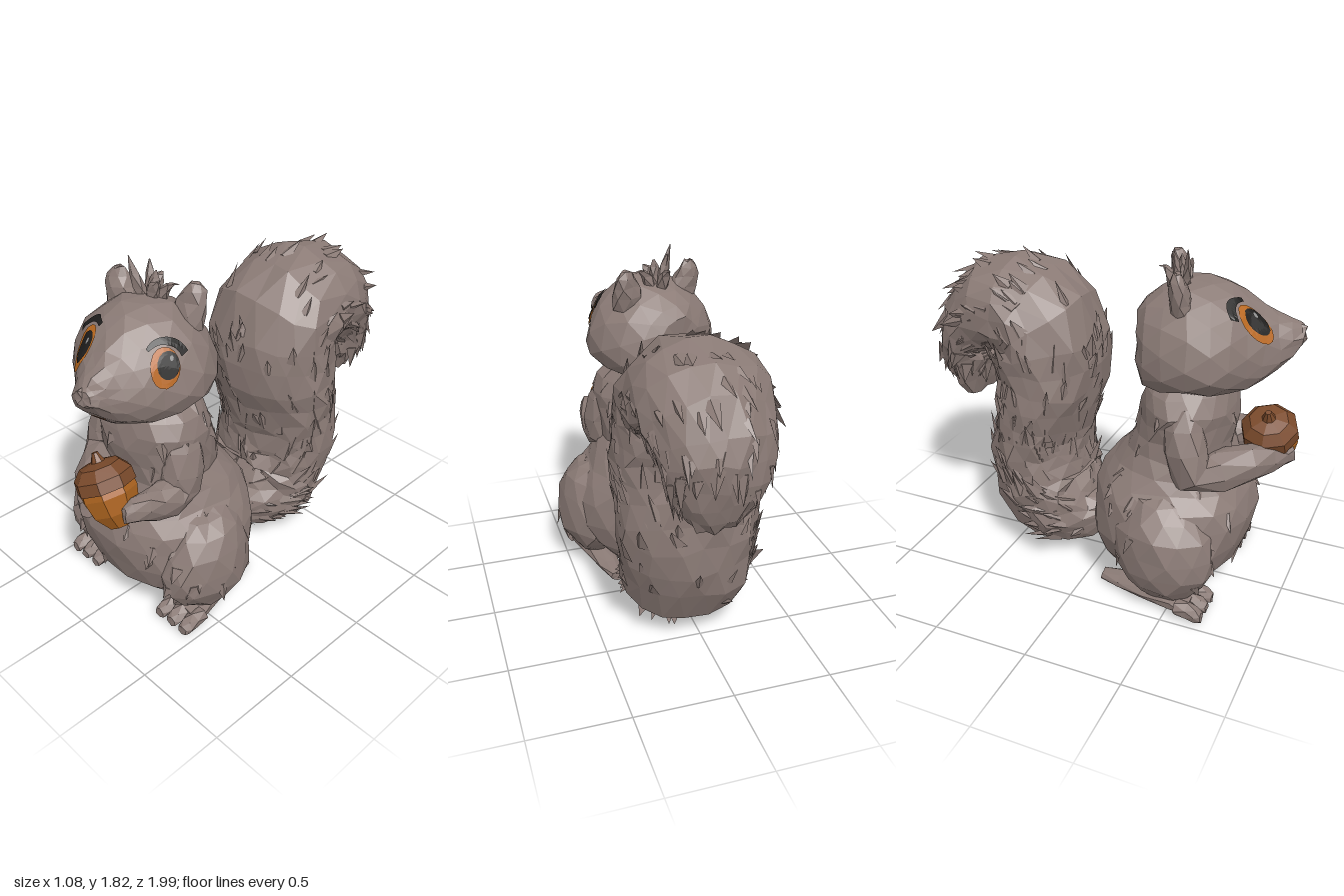
import * as THREE from 'three';
import { mergeGeometries } from 'three/addons/utils/BufferGeometryUtils.js';

const V = (x, y, z) => new THREE.Vector3(x, y, z);
const X = V(1, 0, 0);
const mat = (name, color, side = THREE.FrontSide) => new THREE.MeshStandardMaterial({ name, color, side });

// Flat-faced geometry from a list of corner points, three per face
function facets(pts) {
  const g = new THREE.BufferGeometry().setFromPoints(pts);
  g.computeVertexNormals();
  return g;
}

export function createModel() {
  let seed = 11;
  const rnd = () => (seed = (seed * 16807) % 2147483647) / 2147483647;
  const jig = a => (rnd() - 0.5) * 2 * a;

  const fur = mat('fur', 0x8b7b76);
  const nutMat = mat('nut orange', 0xa9621f);
  const capMat = mat('cap brown', 0x7a4a2b);
  const irisMat = mat('iris orange', 0xb8681f, THREE.DoubleSide);
  const darkMat = mat('eye black', 0x1f1e1d, THREE.DoubleSide);
  const glintMat = mat('eye glint', 0x8f8f8f, THREE.DoubleSide);
  const mouthMat = mat('mouth', 0x9a5530, THREE.DoubleSide);

  const model = new THREE.Group();
  model.name = 'squirrel';
  const add = (name, geo, material, parent = model) => {
    const m = new THREE.Mesh(geo, material);
    m.name = name;
    parent.add(m);
    return m;
  };

  // Faceted loft through rows of [x, y, z, side radius, other radius], with optional loose fur flakes
  function loft(rows, { sides = 12, rings = 10, rough = 0.012, side = X, dir = null, pear = 0, square = 1, flakes = 0, flakeLen = 0.1 } = {}) {
    const path = new THREE.CatmullRomCurve3(rows.map(r => V(r[0], r[1], r[2])), false, 'catmullrom', 0.5);
    const radii = new THREE.CatmullRomCurve3(rows.map(r => V(r[3], r[4], 0)), false, 'catmullrom', 0.5);
    const bulge = v => Math.sign(v) * Math.abs(v) ** square;
    const grid = [];
    for (let i = 0; i <= rings; i++) {
      const t = i / rings, c = path.getPoint(t), r = radii.getPoint(t);
      const tan = dir ?? path.getTangent(t);
      const n = V().crossVectors(tan, side).normalize();
      const s = V().crossVectors(n, tan).normalize();
      grid.push(Array.from({ length: sides }, (_, j) => {
        const a = ((j + (i % 2) * 0.5) / sides) * Math.PI * 2;
        return c.clone()
          .addScaledVector(s, r.x * bulge(Math.cos(a)) * (1 - pear * Math.sin(a)))
          .addScaledVector(n, r.y * bulge(Math.sin(a)))
          .add(V(jig(rough), jig(rough), jig(rough)));
      }));
    }
    const at = (i, j) => grid[i][(j + sides) % sides];
    const middle = i => grid[i].reduce((m, p) => m.add(p), V()).divideScalar(sides);
    let f = [];
    for (let i = 0; i < rings; i++) for (let j = 0; j < sides; j++) {
      const a = at(i, j), b = at(i, j + 1), c = at(i + 1, j), d = at(i + 1, j + 1);
      if (i % 2) f.push(a, b, d, a, d, c); else f.push(a, b, c, b, d, c);
    }
    for (const [i, flip] of [[0, true], [rings, false]]) {
      for (let j = 0; j < sides; j++) f.push(middle(i), at(i, flip ? j + 1 : j), at(i, flip ? j : j + 1));
    }
    // Turn the shell outward if its signed volume is negative
    let vol = 0;
    for (let k = 0; k < f.length; k += 3) vol += f[k].dot(V().crossVectors(f[k + 1], f[k + 2]));
    if (vol < 0) f = f.reverse();
    // Overlapping flat pointed flakes that follow the loft direction
    for (let k = 0; k < flakes; k++) {
      const i = 1 + Math.floor(rnd() * (rings - 3)), j = Math.floor(rnd() * sides);
      const p = at(i, j).clone().lerp(at(i, j + 1), rnd()).lerp(at(i + 1, j), rnd() * 0.7);
      const along = at(i + 1, j).clone().sub(at(i - 1, j)).normalize();
      const out = p.clone().sub(middle(i));
      out.addScaledVector(along, -out.dot(along)).normalize();
      const w = V().crossVectors(out, along);
      const len = flakeLen * (0.6 + rnd() * 0.7), wide = 0.025 + rnd() * 0.03;
      const L = p.clone().addScaledVector(w, -wide).addScaledVector(out, -0.015);
      const R = p.clone().addScaledVector(w, wide).addScaledVector(out, -0.015);
      const ridge = p.clone().addScaledVector(out, 0.006);
      const tip = p.clone().addScaledVector(along, len).addScaledVector(w, jig(0.03)).addScaledVector(out, 0.01);
      f.push(ridge, L, tip, R, ridge, tip, tip, L, R, R, L, ridge);
      const nrm = V().crossVectors(L.clone().sub(ridge), tip.clone().sub(ridge));
      if (nrm.dot(out) < 0) for (let q = f.length - 12; q < f.length; q += 3) [f[q], f[q + 1]] = [f[q + 1], f[q]];
    }
    return facets(f);
  }

  // Pear-shaped body, neck to base
  add('body', loft([
    [0, 1.2, 0.45, 0.19, 0.17], [0, 1.07, 0.46, 0.3, 0.22], [0, 0.95, 0.45, 0.3, 0.24],
    [0, 0.8, 0.42, 0.28, 0.25], [0, 0.68, 0.385, 0.33, 0.32], [0, 0.57, 0.39, 0.41, 0.39],
    [0, 0.42, 0.4, 0.46, 0.415], [0, 0.22, 0.385, 0.42, 0.385], [0, 0.07, 0.37, 0.26, 0.26],
    [0, 0.015, 0.37, 0.1, 0.1],
  ], { sides: 16, rings: 14, dir: V(0, -1, 0), square: 0.85, flakes: 50, flakeLen: 0.09 }), fur);

  // Bushy curled tail
  add('tail', loft([
    [0, 0.24, 0.02, 0.1, 0.1], [0.01, 0.23, -0.13, 0.26, 0.19], [0.02, 0.31, -0.31, 0.34, 0.275],
    [0.03, 0.5, -0.39, 0.355, 0.26], [0.04, 0.7, -0.395, 0.37, 0.25], [0.04, 0.9, -0.355, 0.375, 0.27],
    [0.04, 1.1, -0.335, 0.37, 0.295], [0.04, 1.28, -0.375, 0.355, 0.3], [0.04, 1.365, -0.54, 0.335, 0.27],
    [0.04, 1.3, -0.71, 0.305, 0.235], [0.04, 1.15, -0.8, 0.26, 0.17], [0.04, 0.99, -0.81, 0.21, 0.135],
    [0.04, 0.85, -0.79, 0.13, 0.08],
  ], { sides: 18, rings: 24, rough: 0.016, flakes: 380, flakeLen: 0.12 }), fur);

  // Thighs, feet and toes, mirrored
  for (const s of [-1, 1]) {
    const label = s > 0 ? 'left' : 'right';
    add(label + 'Thigh', loft([
      [s * 0.3, 0.63, 0.44, 0.04, 0.06], [s * 0.33, 0.58, 0.44, 0.11, 0.15], [s * 0.355, 0.48, 0.45, 0.155, 0.225],
      [s * 0.365, 0.34, 0.455, 0.178, 0.265], [s * 0.36, 0.21, 0.46, 0.165, 0.245], [s * 0.35, 0.11, 0.46, 0.115, 0.17],
      [s * 0.35, 0.05, 0.46, 0.05, 0.08],
    ], { sides: 11, rings: 8, dir: V(0, -1, 0), flakes: 16, flakeLen: 0.08 }), fur);
    add(label + 'Foot', loft([
      [s * 0.29, 0.03, 0.1, 0.04, 0.025], [s * 0.31, 0.04, 0.25, 0.07, 0.035],
      [s * 0.34, 0.045, 0.48, 0.1, 0.042], [s * 0.355, 0.05, 0.62, 0.11, 0.045],
    ], { sides: 8, rings: 4, rough: 0.005, dir: V(0, 0, 1) }), fur);
    for (const k of [-1, 0, 1]) {
      const x = s * 0.355 + k * 0.08;
      add(label + 'Toe', loft([
        [x, 0.055, 0.56, 0.045, 0.04], [x + k * 0.004, 0.05, 0.65, 0.046, 0.045], [x + k * 0.006, 0.035, 0.7, 0.03, 0.028],
      ], { sides: 6, rings: 3, rough: 0.004, dir: V(0, 0, 1) }), fur);
    }
  }

  // Arms reaching round the acorn
  add('rightArm', loft([
    [-0.21, 1.05, 0.5, 0.08, 0.08], [-0.26, 0.9, 0.52, 0.11, 0.11], [-0.255, 0.74, 0.57, 0.115, 0.115],
    [-0.1, 0.755, 0.76, 0.1, 0.1], [0.04, 0.76, 0.89, 0.075, 0.075], [0.1, 0.77, 0.965, 0.045, 0.045],
  ], { sides: 8, rings: 8, rough: 0.008, side: V(0.6, 0, -0.8) }), fur);
  add('leftArm', loft([
    [0.2, 1.05, 0.47, 0.08, 0.08], [0.24, 0.9, 0.5, 0.11, 0.115], [0.24, 0.74, 0.52, 0.11, 0.115],
    [0.265, 0.75, 0.68, 0.08, 0.095], [0.275, 0.78, 0.8, 0.05, 0.07], [0.265, 0.78, 0.88, 0.025, 0.04],
  ], { sides: 8, rings: 8, rough: 0.008 }), fur);

  // Tilted acorn
  const acorn = new THREE.Group();
  acorn.name = 'acorn';
  acorn.position.set(0.115, 0.82, 0.845);
  acorn.rotation.z = 0.46;
  model.add(acorn);
  const lathe = pts => {
    const g = new THREE.LatheGeometry(pts.map(p => new THREE.Vector2(...p)), 8).toNonIndexed();
    g.computeVertexNormals();
    return g;
  };
  add('nut', lathe([[0, -0.185], [0.06, -0.17], [0.12, -0.09], [0.142, 0], [0.135, 0.06]]), nutMat, acorn);
  add('cap', lathe([[0, 0.03], [0.148, 0.03], [0.145, 0.09], [0.1, 0.14], [0.035, 0.155], [0.015, 0.2], [0, 0.2]]), capMat, acorn);

  // Head, turned a little to its left
  const head = new THREE.Group();
  head.name = 'head';
  const skull = add('skull', loft([
    [0, 1.35, -0.26, 0.14, 0.14], [0, 1.345, -0.2, 0.26, 0.225], [0, 1.38, -0.05, 0.335, 0.27],
    [0, 1.385, 0.1, 0.345, 0.275], [0, 1.365, 0.22, 0.275, 0.25], [0, 1.345, 0.33, 0.195, 0.19],
    [0, 1.355, 0.43, 0.125, 0.125], [0, 1.385, 0.51, 0.075, 0.065], [0, 1.4, 0.545, 0.04, 0.035],
  ], { sides: 14, rings: 11, rough: 0.008, dir: V(0, 0, 1), pear: 0.22, square: 0.92 }), fur, head);

  // Thin patch laid on the skull; shape maps (a, b) in 0..1 to flat (s, t)
  const ray = new THREE.Raycaster();
  function decal(name, material, centre, dir, lift, shape, na = 16, nb = 4, lean = 0) {
    dir = dir.clone().normalize();
    const right = V().crossVectors(V(0, 1, 0), dir).normalize(), up = V().crossVectors(dir, right);
    const at = (i, j) => {
      const [s, t] = shape(i / na, j / nb);
      const p = centre.clone().addScaledVector(right, s + lean * t).addScaledVector(up, t);
      ray.set(p.clone().addScaledVector(dir, 0.6), dir.clone().negate());
      const hit = ray.intersectObject(skull)[0];
      return (hit ? hit.point : p).clone().addScaledVector(dir, lift);
    };
    const f = [];
    for (let i = 0; i < na; i++) for (let j = 0; j < nb; j++) {
      const a = at(i, j), b = at(i + 1, j), c = at(i + 1, j + 1), d = at(i, j + 1);
      f.push(a, d, c, a, c, b);
    }
    add(name, facets(f), material, head);
  }
  const disc = (rx, ry, ox = 0, oy = 0) => (a, b) =>
    [ox + rx * b * Math.cos(a * Math.PI * 2), oy + ry * b * Math.sin(a * Math.PI * 2)];

  // Eyes glancing to the left, brows arching over them, ears
  const eyes = [
    { s: -1, label: 'right', c: V(-0.145, 1.485, 0.285), lean: -0.5, span: 1.5 },
    { s: 1, label: 'left', c: V(0.2, 1.45, 0.21), lean: 0.1, span: 1.9 },
  ];
  for (const { s, label, c, lean, span } of eyes) {
    const d = V(s * 0.79, 0, 0.61);
    decal(label + 'Iris', irisMat, c, d, 0.008, disc(0.07, 0.088), 16, 4, lean);
    decal(label + 'Pupil', darkMat, c, d, 0.013, disc(0.052, 0.06, 0.014, 0.012), 16, 4, lean);
    decal(label + 'Glint', glintMat, c, d, 0.017, disc(0.009, 0.012, 0.03, 0.042), 8, 1, lean);
    // Band that tapers toward the nose
    decal(label + 'Brow', darkMat, c, d, 0.011, (a, b) => {
      const q = 0.4 + a * span, r = 1 + (b - 0.5) * 0.36 * (1 - 0.6 * a);
      return [s * 0.108 * Math.cos(q) * r, 0.108 * Math.sin(q) * r];
    }, 12, 2, lean);
    add(label + 'Ear', loft([
      [s * 0.17 + 0.015, 1.52, -0.04, 0.085, 0.06], [s * 0.185 + 0.015, 1.61, -0.06, 0.085, 0.055],
      [s * 0.2 + 0.015, 1.68, -0.07, 0.065, 0.04], [s * 0.2 + 0.015, 1.73, -0.08, 0.025, 0.02],
    ], { sides: 7, rings: 4, rough: 0.007, dir: V(0, 1, 0) }), fur, head);
  }
  decal('mouth', mouthMat, V(0.02, 1.285, 0.44), V(0, -0.3, 1), 0.007, disc(0.045, 0.016), 8, 2);

  // Tuft of hair on the crown
  const tufts = [[-0.1, 1.82, 0], [-0.03, 1.79, -0.07], [0.03, 1.76, -0.03], [0.06, 1.73, 0.02], [0.14, 1.71, -0.03], [0, 1.71, -0.13]];
  add('tuft', mergeGeometries(tufts.map(([x, y, z]) => loft([
    [x * 0.3, 1.61, z * 0.4 - 0.04, 0.035, 0.03], [x * 0.6, 1.7, z * 0.7 - 0.03, 0.032, 0.022], [x, y, z - 0.03, 0.003, 0.003],
  ], { sides: 4, rings: 3, rough: 0.003, dir: V(0, 1, 0) }))), fur, head);

  head.position.set(-0.03, 0, 0.45);
  head.rotation.y = 0.33;
  model.add(head);
  return model;
}
